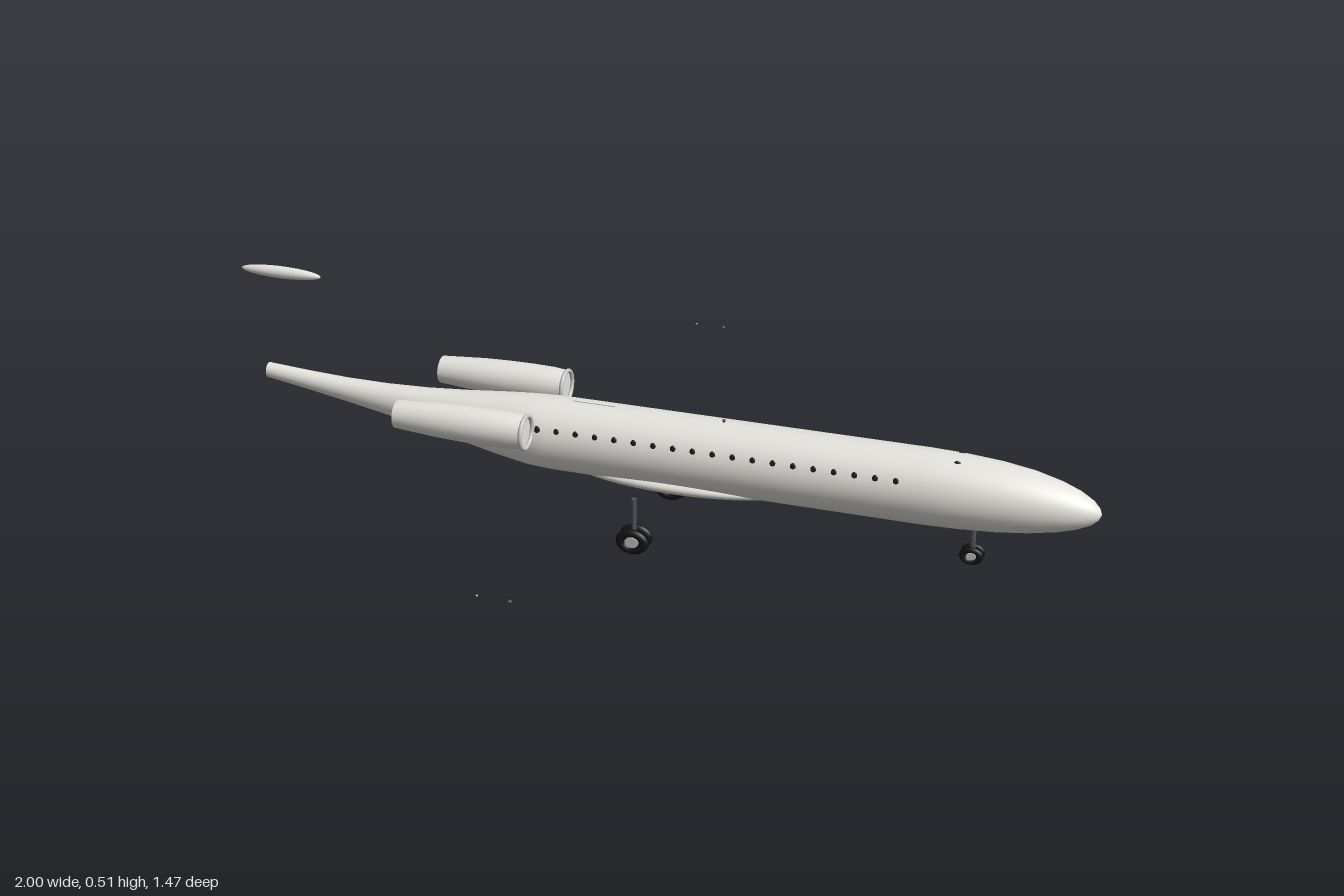
import * as THREE from 'three';

const mat = (name, color) => {
  const m = new THREE.MeshStandardMaterial({ color });
  m.name = name;
  return m;
};

// Smooth tube through elliptical sections [x, bottomY, topY, halfWidth]
function loft(sections, sides = 40) {
  const pos = [], index = [];
  for (const [x, y0, y1, w] of sections) {
    for (let j = 0; j < sides; j++) {
      const a = (j / sides) * Math.PI * 2;
      pos.push(x, (y0 + y1) / 2 + ((y1 - y0) / 2) * Math.cos(a), w * Math.sin(a));
    }
  }
  for (let i = 0; i < sections.length - 1; i++) {
    for (let j = 0; j < sides; j++) {
      const k = (j + 1) % sides;
      const a = i * sides + j, b = i * sides + k, c = a + sides, d = b + sides;
      index.push(a, b, c, b, d, c);
    }
  }
  const g = new THREE.BufferGeometry();
  g.setAttribute('position', new THREE.Float32BufferAttribute(pos, 3));
  g.setIndex(index);
  g.computeVertexNormals();
  return g;
}

export function createModel() {
  const model = new THREE.Group();
  model.name = 'airliner';
  const white = mat('bodyWhite', 0xe6e4de);
  const metal = mat('lightMetal', 0xc8c8c6);
  const steel = mat('strutGrey', 0x50545a);
  const rubber = mat('tyreBlack', 0x141414);
  const glass = mat('windowDark', 0x1c1e22);
  const copper = mat('exhaustBrown', 0xa87448);

  const add = (name, geo, material, x, y, z, parent = model) => {
    const m = new THREE.Mesh(geo, material);
    m.name = name;
    m.position.set(x, y, z);
    parent.add(m);
    return m;
  };
  const ellipsoid = (rx, ry, rz, n = 24) => new THREE.SphereGeometry(1, n, n / 2).scale(rx, ry, rz);

  // Fuselage: upswept tail cone, straight cabin, rounded nose
  add('fuselage', loft([
    [-0.95, 0.231, 0.267, 0.017], [-0.85, 0.216, 0.26, 0.021], [-0.75, 0.199, 0.255, 0.026],
    [-0.65, 0.181, 0.254, 0.033], [-0.55, 0.162, 0.257, 0.043], [-0.45, 0.142, 0.264, 0.056],
    [-0.36, 0.124, 0.272, 0.07], [-0.29, 0.113, 0.277, 0.08], [-0.23, 0.11, 0.279, 0.084],
    [0, 0.11, 0.279, 0.084], [0.3, 0.11, 0.279, 0.084], [0.62, 0.11, 0.279, 0.084],
    [0.7, 0.112, 0.277, 0.082], [0.78, 0.117, 0.271, 0.077], [0.85, 0.125, 0.261, 0.068],
    [0.91, 0.136, 0.246, 0.055], [0.95, 0.147, 0.231, 0.042], [0.98, 0.16, 0.214, 0.027],
    [0.995, 0.173, 0.199, 0.013], [1, 0.185, 0.187, 0.001],
  ]), white, 0, 0, 0);
  const cap = add('tailCap', new THREE.CircleGeometry(1, 40).scale(0.017, 0.018, 1), white, -0.95, 0.249, 0);
  cap.rotation.y = -Math.PI / 2;
  add('bellyFairing', ellipsoid(0.25, 0.025, 0.07, 40), white, 0.06, 0.126, 0);
  add('tailBullet', ellipsoid(0.1, 0.014, 0.014, 32), white, -0.9, 0.5, 0);

  // Small roof fittings
  add('roofStrip', new THREE.BoxGeometry(0.1, 0.006, 0.006), white, -0.14, 0.278, 0);
  add('antenna', new THREE.CylinderGeometry(0.003, 0.003, 0.012, 8), steel, 0.163, 0.279, 0);

  for (const s of [-1, 1]) {
    const side = s > 0 ? 'right' : 'left';

    // Cabin windows, set nearly flush in the cabin wall
    const pane = ellipsoid(0.007, 0.011, 0.003, 12);
    for (let i = 0; i < 19; i++) {
      add(side + 'Window', pane, glass, -0.25 + i * 0.0455, 0.23, s * 0.0745);
    }
    add(side + 'CockpitPane', ellipsoid(0.008, 0.004, 0.004, 12), glass, 0.69, 0.272, s * 0.025);

    // Engine, turned so that its axis runs along the body
    const engine = new THREE.Group();
    engine.name = side + 'Engine';
    engine.position.set(0, 0.249, s * 0.13);
    engine.rotation.z = -Math.PI / 2;
    model.add(engine);
    const profile = [[0.032, -0.565], [0.036, -0.51], [0.0395, -0.46], [0.0415, -0.4],
      [0.042, -0.34], [0.041, -0.29], [0.038, -0.258]].map(([r, y]) => new THREE.Vector2(r, y));
    add('nacelle', new THREE.LatheGeometry(profile, 32), white, 0, 0, 0, engine);
    const lip = add('intakeLip', new THREE.TorusGeometry(0.037, 0.005, 10, 32), metal, 0, -0.255, 0, engine);
    lip.rotation.x = Math.PI / 2;
    const fan = add('fanFace', new THREE.CircleGeometry(0.038, 32), white, 0, -0.258, 0, engine);
    fan.rotation.x = -Math.PI / 2;
    const nozzle = add('exhaust', new THREE.CircleGeometry(0.032, 32), copper, 0, -0.565, 0, engine);
    nozzle.rotation.x = Math.PI / 2;

    // Outboard lights
    add(side + 'TipLight', ellipsoid(0.005, 0.004, 0.004, 12), steel, -0.058, 0.181, s * 0.73);
    add(side + 'StrobeLight', ellipsoid(0.003, 0.002, 0.002, 12), metal, -0.128, 0.182, s * 0.73);
  }

  // Landing gear: strut, axle and a pair of wheels, slightly wider than tall
  const gear = (name, x, z, wheelY, top, r, gap) => {
    const g = new THREE.Group();
    g.name = name;
    g.position.set(x, 0, z);
    model.add(g);
    add('strut', new THREE.CylinderGeometry(0.006, 0.006, top - wheelY, 12), steel, 0, (top + wheelY) / 2, 0, g);
    add('axle', new THREE.CylinderGeometry(0.005, 0.005, gap * 2, 12).rotateX(Math.PI / 2), steel, 0, wheelY, 0, g);
    for (const s of [-1, 1]) {
      const wheel = new THREE.Group();
      wheel.name = 'wheel';
      wheel.position.set(0, wheelY, s * gap);
      wheel.scale.x = 1.27;
      g.add(wheel);
      add('tyre', new THREE.TorusGeometry(r * 0.7, r * 0.3, 12, 28), rubber, 0, 0, 0, wheel);
      add('hub', new THREE.CylinderGeometry(r * 0.42, r * 0.42, r * 0.4, 20).rotateX(Math.PI / 2), metal, 0, 0, 0, wheel);
    }
  };
  gear('rightMainGear', 0, 0.138, 0.03, 0.13, 0.03, 0.0145);
  gear('leftMainGear', 0, -0.138, 0.03, 0.13, 0.03, 0.0145);
  gear('noseGear', 0.73, 0, 0.046, 0.125, 0.021, 0.0105);

  return model;
}
